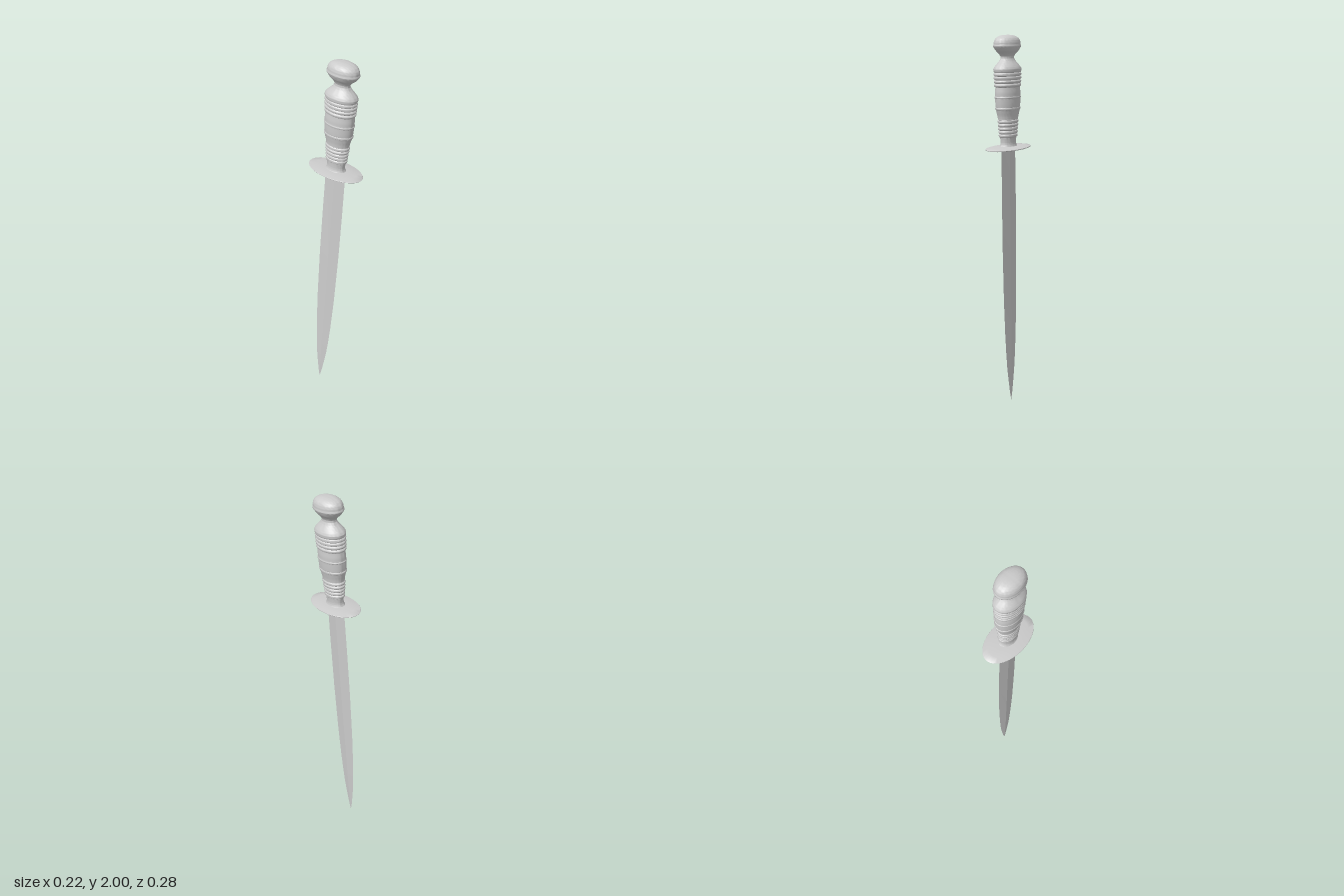
import * as THREE from 'three';
import { toCreasedNormals } from 'three/addons/utils/BufferGeometryUtils.js';

const material = new THREE.MeshStandardMaterial({ color: 0xcccccc });

// Oval turned part: a lathe squashed across its width
function ovalLathe(name, profile, squash) {
  const points = profile.map(([r, y]) => new THREE.Vector2(r, y));
  const geometry = new THREE.LatheGeometry(points, 48);
  geometry.scale(squash, 1, 1);
  const mesh = new THREE.Mesh(toCreasedNormals(geometry, 0.7), material);
  mesh.name = name;
  return mesh;
}

// Profile points for a stack of rounded rings between two heights
function rings(count, y0, y1, r0, r1, depth) {
  const points = [];
  const steps = 6;
  for (let i = 0; i < count; i++) {
    for (let s = i ? 1 : 0; s <= steps; s++) {
      const t = (i + s / steps) / count;
      const bulge = Math.sqrt(Math.sin(Math.PI * s / steps) + 1e-9);
      points.push([r0 + (r1 - r0) * t - depth * (1 - bulge), y0 + (y1 - y0) * t]);
    }
  }
  return points;
}

// Smooth curve through a few profile points
function smooth(profile, divisions) {
  const curve = new THREE.SplineCurve(profile.map(([r, y]) => new THREE.Vector2(r, y)));
  return curve.getPoints(divisions).map((p) => [Math.max(p.x, 0), p.y]);
}

// Double-edged blade: diamond sections swept from the tip up to the guard
function createBlade() {
  const sections = [ // height, half width, half thickness
    [-1.438, 0.0005, 0.0004], [-1.39, 0.011, 0.002], [-1.32, 0.022, 0.0035],
    [-1.235, 0.034, 0.005], [-1.14, 0.042, 0.006], [-1.03, 0.049, 0.0065],
    [-0.83, 0.057, 0.007], [-0.53, 0.062, 0.0075], [-0.25, 0.062, 0.008], [0, 0.06, 0.009],
  ];
  const positions = [];
  const index = [];
  sections.forEach(([y, w, t], k) => {
    positions.push(0, y, w, t, y, 0, 0, y, -w, -t, y, 0);
    if (k === sections.length - 1) return;
    for (let i = 0; i < 4; i++) {
      const a = k * 4 + i;
      const b = k * 4 + (i + 1) % 4;
      index.push(a, b, a + 4, b, b + 4, a + 4);
    }
  });
  const geometry = new THREE.BufferGeometry();
  geometry.setAttribute('position', new THREE.Float32BufferAttribute(positions, 3));
  geometry.setIndex(index);
  const mesh = new THREE.Mesh(toCreasedNormals(geometry, 0.2), material);
  mesh.name = 'blade';
  return mesh;
}

export function createModel() {
  const model = new THREE.Group();
  model.name = 'dagger';

  // Thin oval guard, slightly domed on top
  const guard = ovalLathe('guard', [
    [0, -0.006], [0.1, -0.006], [0.148, -0.004], [0.154, -0.002], [0.155, 0],
    [0.153, 0.002], [0.12, 0.006], [0.08, 0.009], [0, 0.01],
  ], 0.585);

  // Grip: flared foot, lower rings, swelling middle, upper rings, shoulder and neck
  const grip = ovalLathe('grip', [
    ...smooth([[0.06, 0.004], [0.052, 0.015], [0.049, 0.03], [0.051, 0.052]], 10),
    ...rings(5, 0.055, 0.145, 0.059, 0.067, 0.008),
    ...smooth([[0.063, 0.147], [0.066, 0.165], [0.072, 0.185], [0.075, 0.196]], 8),
    ...rings(1, 0.197, 0.209, 0.079, 0.079, 0.004),
    ...smooth([[0.076, 0.21], [0.078, 0.23], [0.079, 0.252]], 6),
    ...rings(1, 0.254, 0.264, 0.082, 0.082, 0.003),
    ...smooth([[0.079, 0.266], [0.079, 0.285], [0.076, 0.308]], 6),
    ...rings(4, 0.31, 0.382, 0.084, 0.087, 0.008),
    ...smooth([[0.083, 0.383], [0.087, 0.393], [0.085, 0.404], [0.07, 0.421],
      [0.052, 0.438], [0.042, 0.453], [0.043, 0.464]], 24),
  ], 0.705);

  // Rounded pommel with a raised band at its widest point
  const pommel = ovalLathe('pommel', [
    ...smooth([[0.043, 0.462], [0.052, 0.474], [0.068, 0.487], [0.081, 0.503]], 12),
    ...rings(1, 0.505, 0.519, 0.086, 0.086, 0.003),
    ...smooth([[0.083, 0.521], [0.081, 0.534], [0.071, 0.549],
      [0.05, 0.56], [0.025, 0.565], [0, 0.566]], 20),
  ], 0.705);

  model.add(createBlade(), guard, grip, pommel);

  // Turn the blade about its length, then lean the whole dagger
  const lean = new THREE.Quaternion().setFromUnitVectors(
    new THREE.Vector3(0, 1, 0), new THREE.Vector3(0.059, 1, 0.037).normalize());
  const turn = new THREE.Quaternion().setFromAxisAngle(new THREE.Vector3(0, 1, 0), 0.548);
  model.quaternion.copy(lean).multiply(turn);
  model.position.y = 1.435;

  const root = new THREE.Group();
  root.name = 'leaningDagger';
  root.add(model);
  return root;
}
